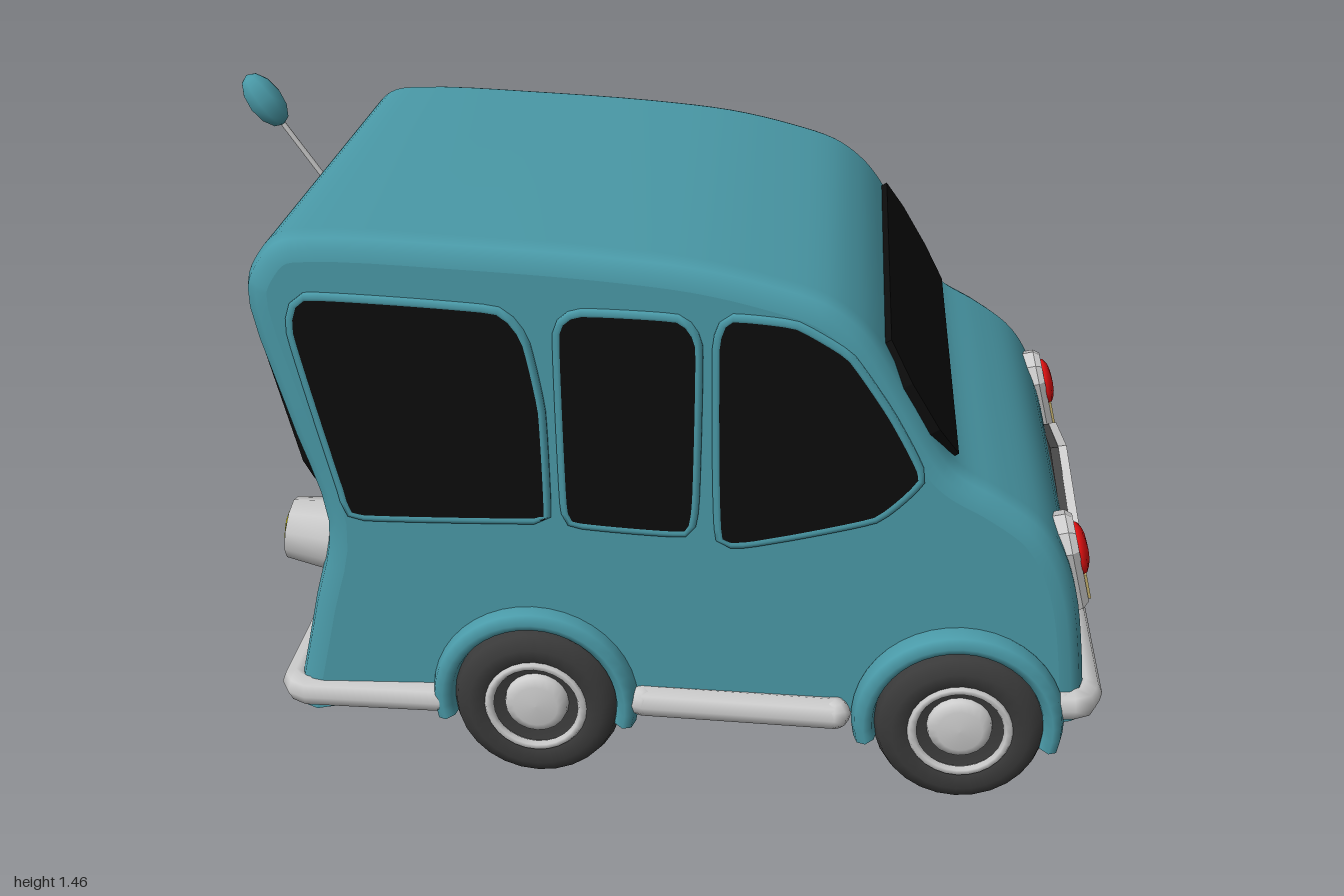
import * as THREE from 'three';

const mat = (color) => new THREE.MeshStandardMaterial({ color, side: THREE.DoubleSide });
const paint = mat(0x4a9aa8), glass = mat(0x0c0c0c), metal = mat(0xcccccc), rubber = mat(0x3a3a3a);
const red = mat(0xe01010), amber = mat(0xd8c27a), yellow = mat(0xd8d010), dark = mat(0x444444);

const v2 = (pts) => pts.map(([x, y]) => new THREE.Vector2(x, y));
const v3 = (pts, z = 0) => pts.map(([x, y, w]) => new THREE.Vector3(x, y, w ?? z));

function add(parent, name, geometry, material, x = 0, y = 0, z = 0) {
  const mesh = new THREE.Mesh(geometry, material);
  mesh.name = name;
  mesh.position.set(x, y, z);
  parent.add(mesh);
  return mesh;
}

// Thin slab centred on its own plane
function slab(pts, depth) {
  const g = new THREE.ExtrudeGeometry(new THREE.Shape(v2(pts)), { depth, bevelEnabled: false });
  return g.translate(0, 0, -depth / 2);
}

// Group lying on the nose (dir 1) or tail (dir -1), tilted to the panel's slope
function mount(parent, name, dir, tilt, x, y, z = 0) {
  const g = new THREE.Group();
  g.name = name;
  g.position.set(x, y, z);
  g.rotation.set(0, dir * Math.PI / 2, tilt, 'ZYX');
  parent.add(g);
  return g;
}

// Side outline from the rear skirt over the roof to the nose
const outline = [[-0.825, 0.14], [-0.765, 0.4], [-0.722, 0.6], [-0.79, 0.87], [-0.852, 1.15], [-0.825, 1.22],
  [-0.775, 1.27], [-0.68, 1.283], [-0.4, 1.277], [-0.1, 1.262], [0.1, 1.242], [0.25, 1.21], [0.36, 1.175],
  [0.42, 1.135], [0.465, 1.087], [0.55, 0.95], [0.625, 0.825], [0.66, 0.79], [0.74, 0.745], [0.83, 0.68],
  [0.88, 0.61], [0.92, 0.5], [0.945, 0.35], [0.96, 0.2]];
const wheels = [{ x: -0.258, z: 0.545 }, { x: 0.685, z: 0.555 }];
const wheelY = 0.195;

function body(car) {
  const curve = new THREE.CatmullRomCurve3(v3(outline), false, 'centripetal');
  const n = 90, centre = curve.getPoints(n);
  const inset = (i, d) => {
    const a = centre[Math.max(i - 1, 0)], b = centre[Math.min(i + 1, n)];
    const t = b.clone().sub(a).normalize();
    return [centre[i].x + t.y * d, centre[i].y - t.x * d];
  };
  // Shell: the outline swept across the width, rounding in towards the sides
  const half = [[0.575, 0.055], [0.57, 0.03], [0.555, 0.01], [0.52, 0]];
  const rows = [...half, ...half.map(([z, d]) => [-z, d]).reverse()];
  const pos = [], index = [];
  rows.forEach(([z, d], r) => {
    for (let i = 0; i <= n; i++) {
      pos.push(...inset(i, d), z);
      if (r && i) {
        const a = r * (n + 1) + i, b = a - n - 1;
        index.push(b - 1, a - 1, b, b, a - 1, a);
      }
    }
  });
  const shell = new THREE.BufferGeometry();
  shell.setAttribute('position', new THREE.Float32BufferAttribute(pos, 3));
  shell.setIndex(index);
  shell.computeVertexNormals();
  add(car, 'bodyShell', shell, paint);

  // Flat side panels with wheel cut-outs
  const side = new THREE.Shape(v2(centre.map((_, i) => inset(i, 0.055))));
  for (const { x } of [...wheels].reverse()) {
    side.lineTo(x + 0.205, wheelY);
    side.absarc(x, wheelY, 0.205, 0, Math.PI, false);
  }
  for (const s of [1, -1]) add(car, 'sidePanel', new THREE.ShapeGeometry(side, 24), paint, 0, 0, s * 0.575);
}

function windows(car) {
  const panes = {
    rearSideWindow: [[-0.75, 1.07], [-0.715, 1.15], [-0.32, 1.135], [-0.26, 1.07], [-0.23, 0.91], [-0.225, 0.67],
      [-0.25, 0.65], [-0.64, 0.64], [-0.67, 0.7]],
    middleSideWindow: [[-0.19, 1.09], [-0.145, 1.135], [0.06, 1.13], [0.1, 1.07], [0.095, 0.72], [0.075, 0.635],
      [-0.165, 0.645], [-0.185, 0.7]],
    frontSideWindow: [[0.14, 1.07], [0.165, 1.135], [0.3, 1.125], [0.41, 1.06], [0.5, 0.93], [0.57, 0.79],
      [0.48, 0.69], [0.27, 0.63], [0.15, 0.625]],
  };
  for (const [name, pts] of Object.entries(panes)) {
    const rim = new THREE.CatmullRomCurve3(v3(pts), true, 'catmullrom', 0.2);
    const pane = slab(rim.getPoints(48).slice(0, -1).map((p) => [p.x, p.y]), 0.02);
    for (const s of [1, -1]) {
      add(car, name, pane, glass, 0, 0, s * 0.574);
      add(car, name + 'Frame', new THREE.TubeGeometry(rim, 60, 0.012, 6, true), paint, 0, 0, s * 0.575);
    }
  }
  const screen = (w, h, c) => slab([[-w, -h + 2 * c], [-w + c, -h], [w - c, -h], [w, -h + 2 * c],
    [w, h - 2 * c], [w - c, h], [-w + c, h], [-w, h - 2 * c]], 0.03);
  add(mount(car, 'windscreenMount', 1, 0.54, 0.56, 0.932), 'windscreen', screen(0.545, 0.15, 0.045), glass);
  add(mount(car, 'rearWindowMount', -1, 0.23, -0.787, 0.89), 'rearWindow', screen(0.525, 0.21, 0.03), glass);
}

function wheelsAndFenders(car) {
  const tyre = new THREE.LatheGeometry(v2([[0, -0.075], [0.15, -0.075], [0.178, -0.06], [0.19, -0.03], [0.19, 0.03],
    [0.18, 0.055], [0.15, 0.073], [0.115, 0.066], [0.09, 0.045], [0, 0.04]]), 28);
  const rim = new THREE.TorusGeometry(0.106, 0.011, 6, 28).rotateX(Math.PI / 2);
  const hub = new THREE.LatheGeometry(v2([[0.075, 0.03], [0.07, 0.058], [0.05, 0.068], [0, 0.07]]), 20);
  const arch = new THREE.TorusGeometry(0.207, 0.027, 8, 24, Math.PI + 0.5).rotateZ(-0.25).scale(1, 1, 1.65);
  for (const { x, z } of wheels) {
    for (const s of [1, -1]) {
      const wheel = new THREE.Group();
      wheel.name = 'wheel';
      wheel.position.set(x, wheelY - 0.005, s * z);
      wheel.rotation.x = s * Math.PI / 2;
      car.add(wheel);
      add(wheel, 'tyre', tyre, rubber);
      add(wheel, 'rim', rim, metal, 0, 0.064, 0);
      add(wheel, 'hubcap', hub, metal);
      add(car, 'fender', arch, paint, x - 0.005, wheelY, s * (z + 0.025));
    }
  }
}

// Round bar along straight segments with closed ends
function bar(car, name, pts, r) {
  const path = new THREE.CurvePath();
  const p = v3(pts);
  for (let i = 1; i < p.length; i++) path.add(new THREE.LineCurve3(p[i - 1], p[i]));
  add(car, name, new THREE.TubeGeometry(path, 80, r, 8), metal);
  for (const e of [p[0], p[p.length - 1]]) add(car, name + 'End', new THREE.SphereGeometry(r, 8, 6), metal, e.x, e.y, e.z);
}

function trim(car) {
  bar(car, 'frontBumper', [[0.9, 0.24, 0.565], [0.945, 0.24, 0.56], [0.963, 0.24, 0.52], [0.963, 0.24, -0.52],
    [0.945, 0.24, -0.56], [0.9, 0.24, -0.565]], 0.037);
  bar(car, 'rearBumper', [[-0.48, 0.18, 0.575], [-0.8, 0.172, 0.565], [-0.825, 0.172, 0.54], [-0.825, 0.172, -0.54],
    [-0.8, 0.172, -0.565], [-0.48, 0.18, -0.575]], 0.035);
  for (const s of [1, -1]) bar(car, 'sill', [[-0.02, 0.2, s * 0.578], [0.41, 0.2, s * 0.59]], 0.036);

  // Fanned grille bars over a dark plate
  const grille = mount(car, 'grille', 1, 0.15, 0.938, 0.45);
  add(grille, 'grillePlate', slab([[-0.355, -0.025], [0, -0.137], [0.355, -0.025], [0.355, 0.025], [0, 0.137],
    [-0.355, 0.025]], 0.03), dark);
  const count = 8;
  for (let i = 0; i < count; i++) {
    const a = -1 + (2 * i) / (count - 0.5), b = a + 1 / (count - 0.5);
    add(grille, 'grilleBar', slab([[-0.357, a * 0.026], [0, a * 0.14], [0.357, a * 0.026], [0.357, b * 0.026],
      [0, b * 0.14], [-0.357, b * 0.026]], 0.02), metal, 0, 0, 0.014);
  }

  // Lamps and rear plate
  const cup = new THREE.CylinderGeometry(0.07, 0.085, 0.11, 10).rotateX(Math.PI / 2);
  const lens = new THREE.SphereGeometry(0.06, 10, 8).scale(1, 1, 0.35);
  for (const s of [1, -1]) {
    const head = mount(car, 'headlamp', 1, 0.25, 0.905, 0.53, s * 0.435);
    const housing = new THREE.ExtrudeGeometry(new THREE.Shape(v2([[-0.035, -0.095], [0.035, -0.095], [0.063, 0.05],
      [0.045, 0.085], [0, 0.1], [-0.045, 0.085], [-0.063, 0.05]])),
    { depth: 0.045, bevelThickness: 0.015, bevelSize: 0.011, bevelSegments: 1 });
    add(head, 'headlampHousing', housing, metal, 0, 0, -0.03);
    add(head, 'headlampLens', lens, red, 0, 0.022, 0.03);
    add(head, 'indicatorLens', slab([[-0.032, -0.09], [0.032, -0.09], [0.047, -0.02], [-0.047, -0.02]], 0.02),
      amber, 0, 0, 0.026);
    const tail = mount(car, 'tailLamp', -1, -0.12, -0.775, 0.525, s * 0.45);
    add(tail, 'tailLampHousing', cup, metal);
    add(tail, 'tailLampLens', lens, yellow, 0, 0, 0.048);
  }
  const plate = mount(car, 'rearPlateMount', -1, -0.21, -0.778, 0.37);
  add(plate, 'rearPlate', new THREE.CylinderGeometry(0.1, 0.1, 0.03, 12).rotateX(Math.PI / 2).scale(0.85, 1, 1), metal);

  // Aerial with an egg-shaped tip
  const aerial = new THREE.Group();
  aerial.name = 'aerial';
  aerial.position.set(-0.81, 1.195, 0);
  aerial.rotation.z = 0.595;
  car.add(aerial);
  add(aerial, 'aerialRod', new THREE.CylinderGeometry(0.006, 0.006, 0.2, 6), metal, 0, 0.1, 0);
  add(aerial, 'aerialTip', new THREE.SphereGeometry(0.042, 8, 6).scale(1, 1.65, 1), paint, 0, 0.241, 0);
}

export function createModel() {
  const car = new THREE.Group();
  car.name = 'van';
  body(car);
  windows(car);
  wheelsAndFenders(car);
  trim(car);
  return car;
}
